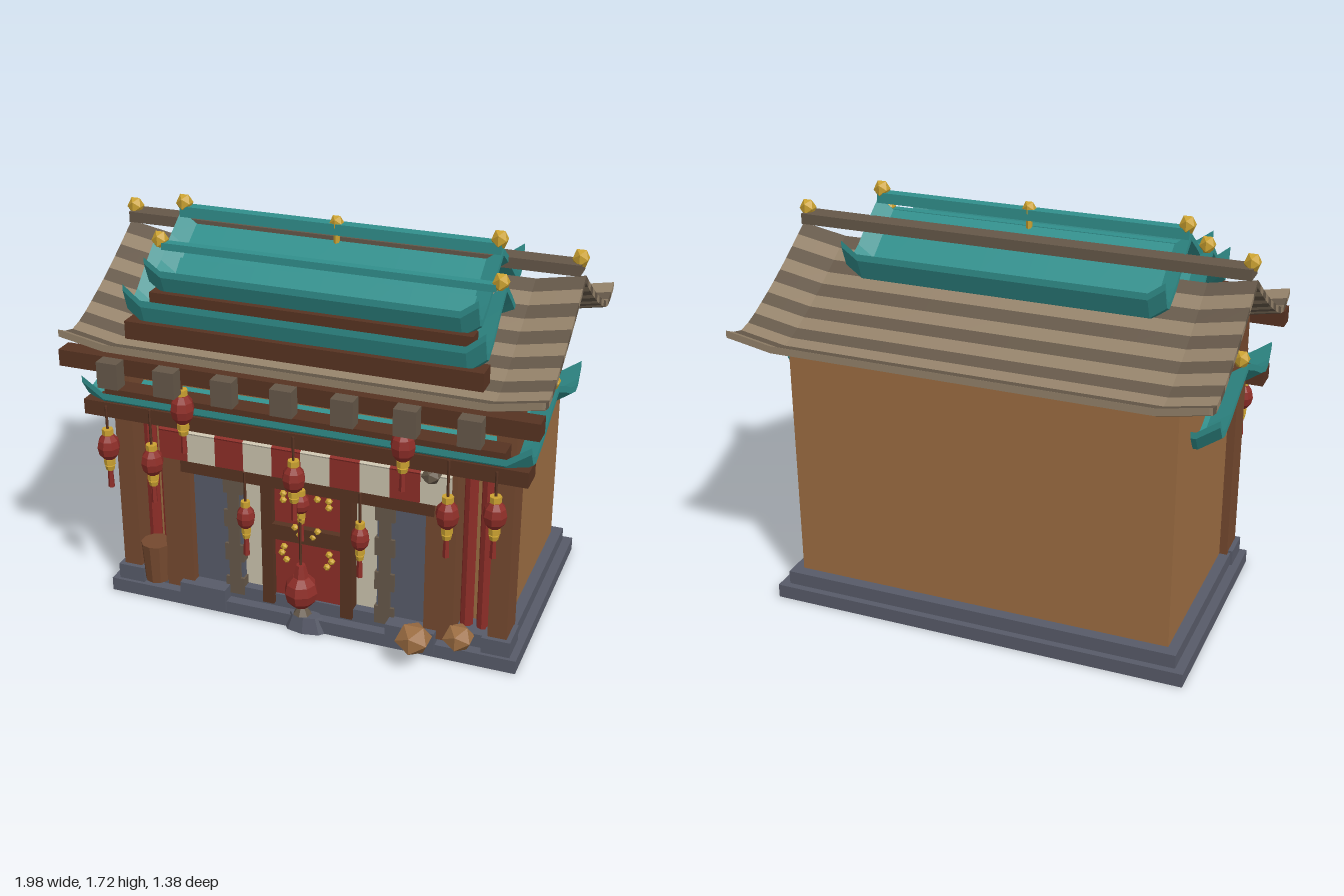
import * as THREE from 'three';

const mat = (name, color) => Object.assign(new THREE.MeshStandardMaterial({ color }), { name });
const M = {
  tan: mat('tan wood', 0x9c6d42),
  brown: mat('dark beam wood', 0x573322),
  pillar: mat('pillar wood', 0x75492f),
  teal: mat('teal tile', 0x318f8c),
  gold: mat('gold', 0xcba231),
  red: mat('red lacquer', 0x8e2e28),
  stone: mat('blue grey stone', 0x585b69),
  cream: mat('cream plaster', 0xcbc3ae),
  tileLight: mat('light roof tile', 0x94826a),
  tileDark: mat('dark roof tile', 0x655849),
};

export function createModel() {
  const root = new THREE.Group();

  function add(name, geo, m, x = 0, y = 0, z = 0, parent = root) {
    const mesh = new THREE.Mesh(geo, m);
    mesh.name = name;
    mesh.position.set(x, y, z);
    parent.add(mesh);
    return mesh;
  }
  // Box given by its limits on each axis
  function box(name, m, x0, x1, y0, y1, z0, z1, parent = root) {
    const g = new THREE.BoxGeometry(x1 - x0, y1 - y0, z1 - z0);
    return add(name, g, m, (x0 + x1) / 2, (y0 + y1) / 2, (z0 + z1) / 2, parent);
  }
  function pair(name, m, x0, x1, y0, y1, z0, z1) {
    box(name + 'Left', m, x0, x1, y0, y1, z0, z1);
    box(name + 'Right', m, -x1, -x0, y0, y1, z0, z1);
  }
  const facet = (g) => {
    const f = g.index ? g.toNonIndexed() : g;
    f.computeVertexNormals();
    return f;
  };
  const cyl = (rt, rb, h, n = 7) => facet(new THREE.CylinderGeometry(rt, rb, h, n));

  // Closed (z, y) outline swept along x, its ends lifted to a flare
  function sweep(outline, half, flareWidth, flare) {
    const shape = new THREE.Shape(outline.map(([z, y]) => new THREE.Vector2(-z, y)));
    const g = new THREE.ExtrudeGeometry(shape, { depth: 2 * half, steps: 20, bevelEnabled: false });
    g.translate(0, 0, -half).rotateY(Math.PI / 2);
    const p = g.attributes.position;
    for (let i = 0; i < p.count; i++) {
      const t = Math.max(0, (Math.abs(p.getX(i)) - (half - flareWidth)) / flareWidth);
      p.setY(i, p.getY(i) + flare * t);
    }
    return facet(g);
  }
  const band = (top, thick) => [...top, ...top.map(([z, y]) => [z, y - thick]).reverse()];

  // Stone base
  box('lowerPlinth', M.stone, -0.91, 0.91, 0, 0.06, -0.57, 0.475);
  box('upperPlinth', M.stone, -0.87, 0.87, 0.06, 0.12, -0.54, 0.43);
  pair('sideStep', M.stone, 0.36, 0.57, 0.015, 0.12, 0.4, 0.49);
  const step = add('centreStep', cyl(0.07, 0.1, 0.07, 8), M.stone, 0, 0.035, 0.46);
  step.scale.z = 0.5;

  // Body and facade
  box('body', M.tan, -0.825, 0.825, 0.12, 1.2, -0.49, 0.32);
  box('upperBlock', M.cream, -0.6, 0.6, 1.2, 1.4, -0.11, 0.22);
  box('frontUpperBlock', M.cream, -0.62, 0.62, 1.2, 1.285, 0.06, 0.34);
  box('redUpperBlock', M.red, -0.64, 0.64, 1.28, 1.4, 0.23, 0.34);
  pair('cornerPillar', M.pillar, 0.78, 0.86, 0.08, 1.2, 0.3, 0.44);
  pair('innerPillar', M.pillar, 0.515, 0.64, 0.08, 0.9, 0.32, 0.46);
  pair('pillarFoot', M.stone, 0.76, 0.88, 0.06, 0.13, 0.32, 0.46);
  pair('stonePanel', M.stone, 0.3, 0.515, 0.08, 0.66, 0.32, 0.42);
  pair('plasterPanel', M.cream, 0.2, 0.32, 0.1, 0.72, 0.32, 0.39);
  pair('plasterFrieze', M.cream, 0, 0.515, 0.72, 0.89, 0.32, 0.4);
  pair('doorPost', M.brown, 0.15, 0.2, 0.08, 0.65, 0.32, 0.45);
  box('lowerDoor', M.red, -0.15, 0.15, 0.08, 0.41, 0.32, 0.42);
  box('upperDoor', M.red, -0.15, 0.15, 0.47, 0.65, 0.32, 0.42);
  box('doorRail', M.brown, -0.2, 0.2, 0.4, 0.47, 0.32, 0.45);
  box('doorHeader', M.brown, -0.55, 0.55, 0.65, 0.72, 0.34, 0.47);
  for (const s of [-1, 1]) {
    for (const x of [0.67, 0.74]) add('redColumn', cyl(0.028, 0.028, 0.8, 8), M.red, s * x, 0.5, 0.36);
    // Quoins alternate long and short
    for (let i = 0; i < 7; i++) {
      const w = i % 2 ? 0.05 : 0.085;
      box('quoin', M.tileDark, s * (0.335) - w / 2, s * 0.335 + w / 2, 0.08 + i * 0.081, 0.161 + i * 0.081, 0.36, 0.432);
    }
    for (const [x, y] of [[0.11, 0.34], [0.09, 0.31], [0.1, 0.37], [0.05, 0.47], [0.03, 0.44], [0.1, 0.62], [0.05, 0.62], [0.1, 0.59]])
      add('doorStud', new THREE.IcosahedronGeometry(0.016), M.gold, s * x, y, 0.445);
  }

  // Striped awning
  for (let i = 0; i < 10; i++) {
    const x = -0.625 + i * 0.125;
    const m = i % 2 ? M.cream : M.red;
    box('awningFlap', m, x, x + 0.125, 0.72, 0.85, 0.485, 0.5);
    const top = box('awningSlope', m, x, x + 0.125, 0.862, 0.872, 0.4, 0.505);
    top.rotation.x = 0.4;
  }

  // Beams
  box('lowerBeam', M.brown, -0.935, 0.935, 0.89, 0.955, 0.44, 0.55);
  box('middleBeam', M.brown, -0.84, 0.84, 0.955, 1.015, 0.45, 0.54);
  box('eaveBeam', M.brown, -0.985, 0.985, 1.13, 1.2, 0.55, 0.63);
  box('lowerRoofBeam', M.brown, -0.74, 0.74, 1.24, 1.315, 0.43, 0.52);
  box('upperRoofBeam', M.brown, -0.67, 0.67, 1.34, 1.415, 0.36, 0.43);
  for (let i = -3; i <= 3; i++) {
    const x = i * 0.246;
    box('beamBlock', M.tileDark, x - 0.045, x + 0.045, 1.09, 1.2, 0.63, 0.69);
  }

  // Main striped roof
  const slope = [[0, 1.5], [0.15, 1.4], [0.3, 1.31], [0.45, 1.235], [0.53, 1.205], [0.58, 1.21], [0.655, 1.245]];
  const heightAt = (d) => {
    let i = 1;
    while (i < slope.length - 1 && slope[i][0] < d) i++;
    const [a, b] = [slope[i - 1], slope[i]];
    return a[1] + ((b[1] - a[1]) * (d - a[0])) / (b[0] - a[0]);
  };
  const rows = 12, ridgeZ = -0.035;
  for (const s of [-1, 1]) {
    for (let i = 0; i < rows; i++) {
      const top = [i, i + 1].map((k) => [ridgeZ + (s * k * 0.655) / rows, heightAt((k * 0.655) / rows)]);
      add('roofTileRow', sweep(band(top, 0.03), 0.985, 0.197, 0.037), i % 2 ? M.tileLight : M.tileDark);
    }
  }
  box('mainRidge', M.tileDark, -0.97, 0.97, 1.545, 1.59, ridgeZ - 0.045, ridgeZ + 0.045);

  // Upturned teal roofs
  const arm = [[0, 0], [0.29, -0.07], [0.58, -0.15], [0.8, -0.19], [0.9, -0.175], [1, -0.09]];
  function tealRoof(name, z, half, reach, apex, flare, drop = 1) {
    const at = (s) => ([d, y]) => [z + s * d * reach, apex + y * drop];
    const top = [...arm.slice(1).reverse().map(at(1)), ...arm.map(at(-1))];
    add(name, sweep(band(top, 0.028), half, half / 10, flare), M.teal);
  }
  tealRoof('topTealRoof', 0.085, 0.685, 0.345, 1.6, 0.05);
  tealRoof('frontTealRoof', 0.23, 0.74, 0.285, 1.5, 0.06);
  tealRoof('innerTealRoof', 0.075, 0.6, 0.28, 1.48, 0.04);
  tealRoof('lowerTealRoof', 0.115, 0.94, 0.43, 1.06, 0.065, 0.75);
  box('topTealRidge', M.teal, -0.68, 0.68, 1.63, 1.675, 0.06, 0.11);
  box('frontTealRidge', M.teal, -0.7, 0.7, 1.53, 1.56, 0.21, 0.25);
  const trim = [[0.3, 1.085], [0, 1.085], [-0.3, 1.085], [-0.35, 1.12], [-0.41, 1.17]];
  for (const s of [-1, 1]) {
    const path = new THREE.CatmullRomCurve3(trim.map(([z, y]) => new THREE.Vector3(s * 0.826, y, z)));
    add('wallTrim', new THREE.TubeGeometry(path, 16, 0.005, 4), M.teal);
  }

  // Gold finials
  const finial = (x, y, z, r = 0.036) => {
    add('finial', new THREE.IcosahedronGeometry(r), M.gold, x, y, z).scale.y = 1.15;
  };
  for (const s of [-1, 1]) {
    finial(s * 0.96, 1.605, ridgeZ);
    finial(s * 0.667, 1.685, 0.085);
    finial(s * 0.715, 1.565, 0.225);
    finial(s * 0.91, 1.14, 0.115);
  }
  finial(0, 1.675, 0.085, 0.03);
  add('finialPost', cyl(0.014, 0.014, 0.16, 6), M.gold, 0, 1.57, 0.085);

  // Hanging lanterns
  function lantern(x, y, z, w, h, cord = 0.12) {
    const g = new THREE.Group();
    g.name = 'lantern';
    g.position.set(x, y, z);
    root.add(g);
    add('lanternBody', facet(new THREE.SphereGeometry(1, 8, 6)), M.red, 0, 0, 0, g).scale.set(w, h, w);
    for (const s of [-1, 1]) add('lanternCap', cyl(w * 0.5, w * 0.5, 0.025), M.gold, 0, s * (h + 0.006), 0, g);
    add('cord', cyl(0.006, 0.006, cord, 5), M.brown, 0, h + cord / 2, 0, g);
    add('tasselKnot', cyl(w * 0.45, w * 0.35, 0.02), M.gold, 0, -h - 0.035, 0, g);
    add('tassel', cyl(0.011, 0.014, 0.09, 5), M.red, 0, -h - 0.08, 0, g);
  }
  for (const s of [-1, 1]) {
    lantern(s * 0.82, 0.77, 0.575, 0.048, 0.062);
    lantern(s * 0.63, 0.725, 0.56, 0.048, 0.062, 0.17);
    lantern(s * 0.46, 1.01, 0.6, 0.05, 0.068, 0.08);
    lantern(s * 0.25, 0.505, 0.49, 0.04, 0.055, 0.15);
  }
  lantern(0, 0.77, 0.57, 0.048, 0.062);
  lantern(0, 0.62, 0.5, 0.038, 0.045, 0.08);
  add('bigLanternBody', facet(new THREE.SphereGeometry(1, 8, 6)), M.red, 0, 0.215, 0.51).scale.set(0.072, 0.08, 0.072);
  add('bigLanternTop', cyl(0.02, 0.035, 0.06), M.red, 0, 0.31, 0.51);
  add('bigLanternCord', cyl(0.006, 0.006, 0.26, 5), M.brown, 0, 0.46, 0.51);
  add('bigLanternFoot', cyl(0.012, 0.04, 0.04), M.tileDark, 0, 0.12, 0.5);

  // Barrel and rocks
  add('barrel', cyl(0.066, 0.055, 0.18, 10), M.pillar, -0.7, 0.18, 0.44);
  const rock = (x, y, z, r, m) => {
    add('rock', new THREE.IcosahedronGeometry(r), m, x, y, z).scale.y = 0.88;
  };
  rock(0.51, 0.14, 0.575, 0.078, M.tan);
  rock(0.665, 0.11, 0.46, 0.068, M.tan);
  rock(0.55, 0.86, 0.52, 0.042, M.tileDark);

  return root;
}
